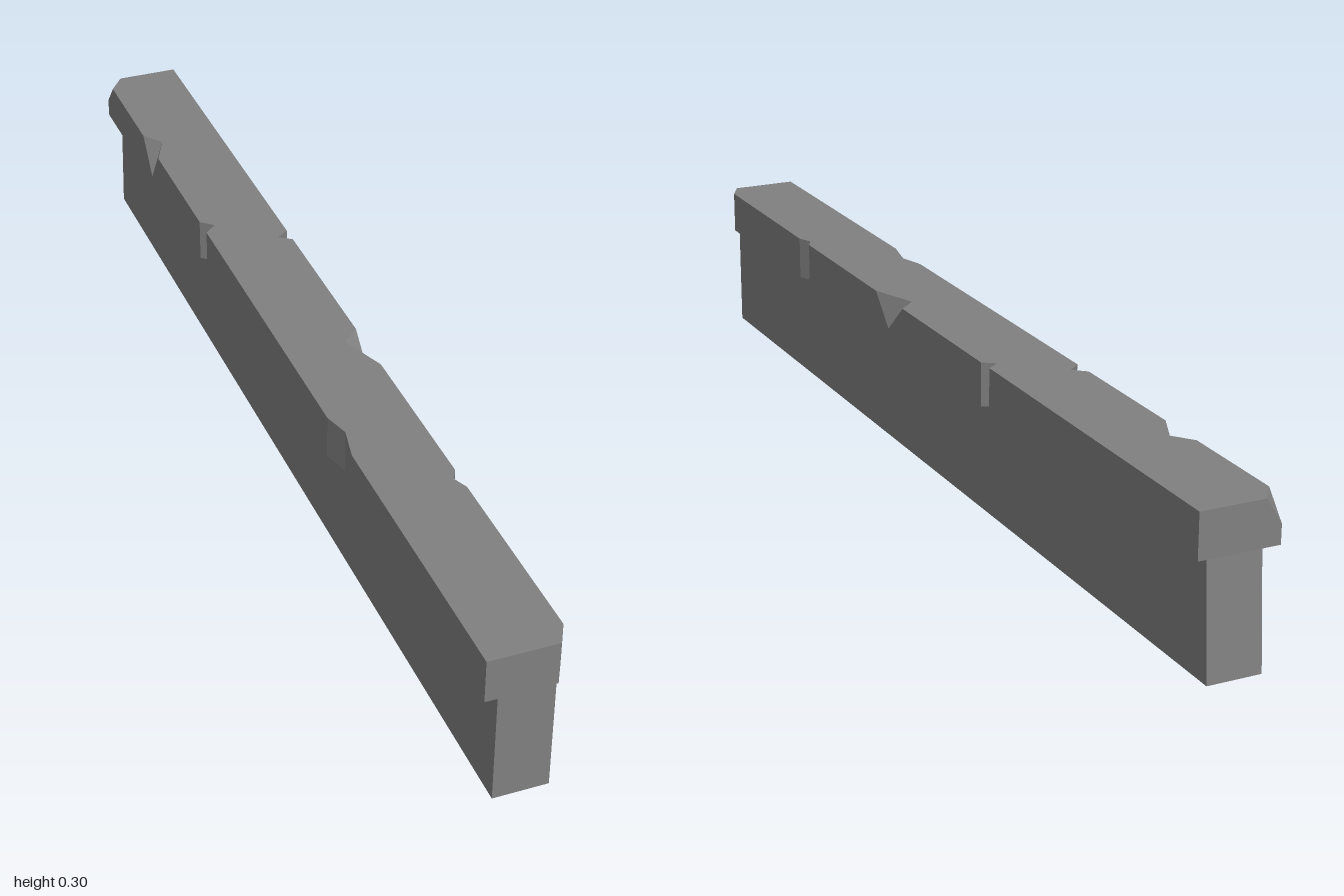
import * as THREE from 'three';

const CAP_BOTTOM = 0.215, CAP_TOP = 0.297, W = 0.074;

// Cap outline, counterclockwise from above. Each column: x, z and, where
// a corner is broken off, the chip's lowest height and its top point.
const col = (x, z, chipY, topX = x, topZ = z) => ({ x, z, chipY, topX, topZ });
const notch = (side, z0, z1, z2, depthX) => [col(side * W, z0), col(side * depthX, z1), col(side * W, z2)];
const chip = (side, z0, z1, z2, apexZ, apexY, depthX) =>
  [col(side * W, z0), col(side * W, apexZ, apexY, side * depthX, z1), col(side * W, z2)];

const outline = [
  col(0.052, 1), col(W, 0.96),
  ...notch(1, 0.585, 0.557, 0.535, 0.062),
  ...chip(1, 0.2, 0.11, 0.078, 0.143, 0.238, 0.04),
  ...notch(1, -0.255, -0.272, -0.288, 0.05),
  col(W, -1), col(-0.045, -1),
  col(-W, -1, 0.25, (-0.045 - W) / 2, -0.98), // broken back corner
  col(-W, -0.96),
  ...chip(-1, -0.743, -0.706, -0.643, -0.69, 0.23, 0.045),
  ...notch(-1, -0.378, -0.357, -0.336, 0.05),
  ...notch(-1, 0.32, 0.37, 0.437, 0.06),
  col(-W, 1),
];

function capGeometry() {
  const positions = [];
  const tri = (...points) => points.forEach((p) => positions.push(...p));
  const midY = 0.25;
  const bottom = outline.map((c) => [c.x, CAP_BOTTOM, c.z]);
  const middle = outline.map((c) => [c.x, c.chipY ?? midY, c.z]);
  const top = outline.map((c) => [c.topX, CAP_TOP, c.topZ]);

  // Sides: the diagonals start at a chip's apex so its faces stay flat
  outline.forEach((c, i) => {
    const j = (i + 1) % outline.length;
    tri(bottom[i], bottom[j], middle[j]);
    tri(bottom[i], middle[j], middle[i]);
    if (c.chipY) {
      tri(middle[i], middle[j], top[j]);
      tri(middle[i], top[j], top[i]);
    } else {
      tri(middle[i], middle[j], top[i]);
      tri(middle[j], top[j], top[i]);
    }
  });

  // Top and underside
  const fill = (ring, up) => {
    const contour = ring.map((p) => new THREE.Vector2(p[0], -p[2]));
    for (const [a, b, c] of THREE.ShapeUtils.triangulateShape(contour, [])) {
      if (up) tri(ring[a], ring[b], ring[c]);
      else tri(ring[a], ring[c], ring[b]);
    }
  };
  fill(top, true);
  fill(bottom, false);

  const geometry = new THREE.BufferGeometry();
  geometry.setAttribute('position', new THREE.Float32BufferAttribute(positions, 3));
  geometry.computeVertexNormals();
  return geometry;
}

// Plain wall whose back end leans slightly inward towards the top
function wallGeometry() {
  const geometry = new THREE.BoxGeometry(0.1, CAP_BOTTOM, 2);
  geometry.translate(0, CAP_BOTTOM / 2, 0);
  const p = geometry.attributes.position;
  for (let i = 0; i < p.count; i++) {
    if (p.getZ(i) > 0) p.setZ(i, 0.997);
    else if (p.getY(i) > 0.1) p.setZ(i, -0.985);
  }
  geometry.computeVertexNormals();
  return geometry;
}

export function createModel() {
  const stone = new THREE.MeshStandardMaterial({ color: 0x808080, flatShading: true });
  stone.name = 'grey stone';
  const model = new THREE.Group();
  model.name = 'stoneWall';

  const wall = new THREE.Mesh(wallGeometry(), stone);
  wall.name = 'wall';
  const cap = new THREE.Mesh(capGeometry(), stone);
  cap.name = 'chippedCap';
  model.add(wall, cap);
  return model;
}
